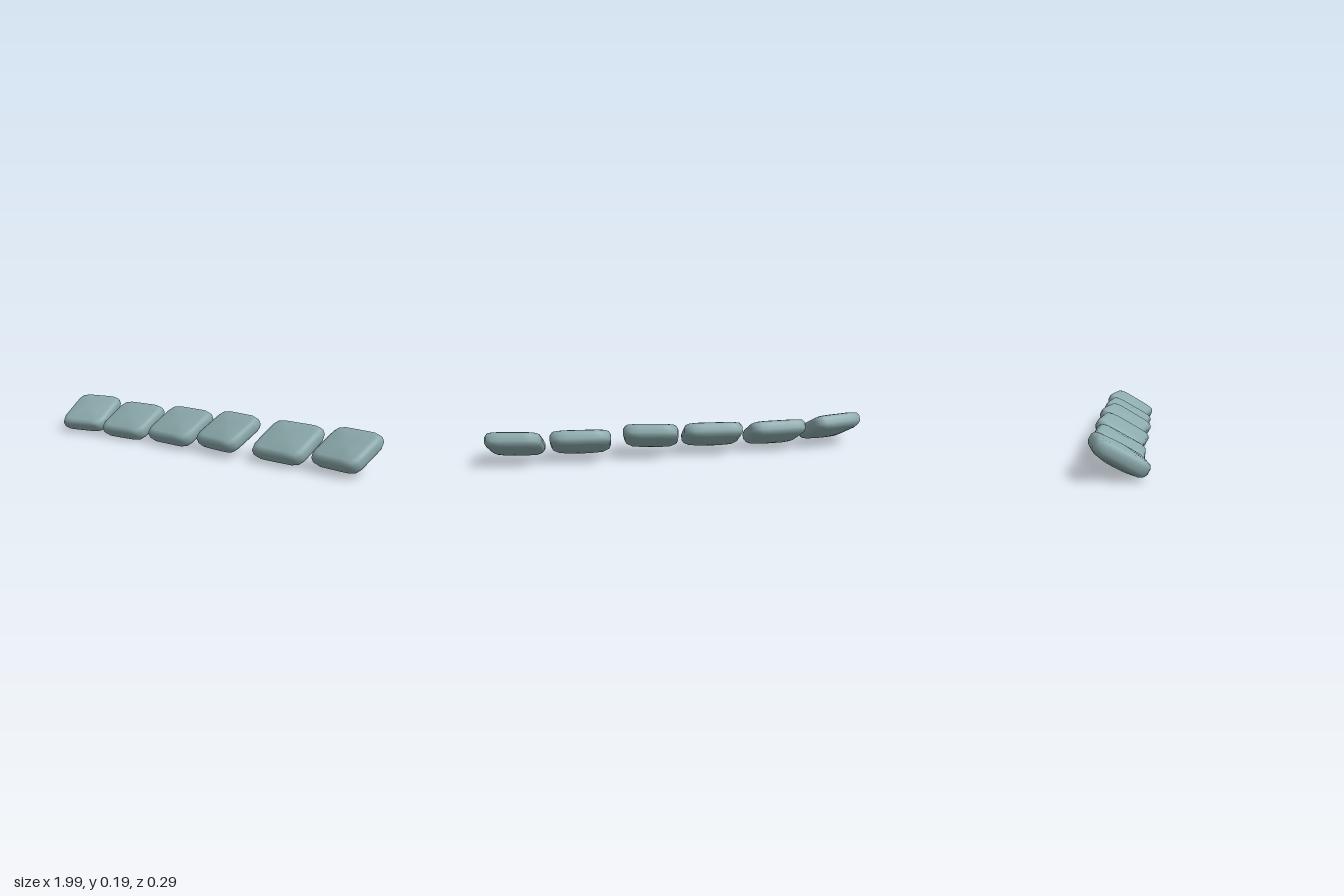
import * as THREE from 'three';

const SEGMENTS = 32;
// Cushion profile from top to bottom: [outline scale, height]
const PROFILE = [
  [0.4, 0.042], [0.8, 0.036], [0.94, 0.03], [1, 0.014],
  [1, -0.014], [0.94, -0.03], [0.8, -0.042], [0.4, -0.055],
];
const TOP = 0.047, BOTTOM = -0.061;

// Soft square pad lofted through rounded-rectangle rings, with a pole on each face
function cushionGeometry(width, depth) {
  const positions = [0, TOP, 0];
  const index = [];
  for (const [scale, y] of PROFILE) {
    for (let j = 0; j < SEGMENTS; j++) {
      const a = (j / SEGMENTS) * Math.PI * 2;
      const c = Math.cos(a), s = Math.sin(a);
      const r = scale / Math.pow(Math.abs(c) ** 7 + Math.abs(s) ** 7, 1 / 7);
      positions.push(c * r * width / 2, y, s * r * depth / 2);
    }
  }
  const last = positions.length / 3;
  positions.push(0, BOTTOM, 0);

  const id = (ring, j) => 1 + ring * SEGMENTS + (j % SEGMENTS);
  const end = PROFILE.length - 1;
  for (let j = 0; j < SEGMENTS; j++) {
    index.push(0, id(0, j + 1), id(0, j));
    for (let i = 0; i < end; i++) {
      index.push(id(i, j), id(i, j + 1), id(i + 1, j));
      index.push(id(i, j + 1), id(i + 1, j + 1), id(i + 1, j));
    }
    index.push(last, id(end, j), id(end, j + 1));
  }
  const geometry = new THREE.BufferGeometry();
  geometry.setAttribute('position', new THREE.Float32BufferAttribute(positions, 3));
  geometry.setIndex(index);
  geometry.computeVertexNormals();
  return geometry;
}

export function createModel() {
  const group = new THREE.Group();
  group.name = 'cushionRow';
  const fabric = new THREE.MeshStandardMaterial({ color: 0x8caaac });
  fabric.name = 'greyTealFabric';

  // x, y, z, width, depth, yaw in degrees
  const cushions = [
    [-0.845, 0.105, 0, 0.275, 0.27, 11],
    [-0.53, 0.093, -0.013, 0.305, 0.26, 0],
    [-0.185, 0.102, -0.015, 0.31, 0.26, -6],
    [0.14, 0.112, -0.013, 0.285, 0.255, -11],
    [0.508, 0.102, -0.015, 0.31, 0.26, -6],
    [0.84, 0.11, -0.013, 0.285, 0.255, -11],
  ];
  cushions.forEach(([x, y, z, width, depth, yaw], i) => {
    const cushion = new THREE.Mesh(cushionGeometry(width, depth), fabric);
    cushion.name = `cushion${i + 1}`;
    cushion.position.set(x, y, z);
    // Every cushion leans back-edge up, then turns a little
    cushion.rotation.set(THREE.MathUtils.degToRad(29), THREE.MathUtils.degToRad(yaw), 0, 'YXZ');
    group.add(cushion);
  });
  return group;
}
